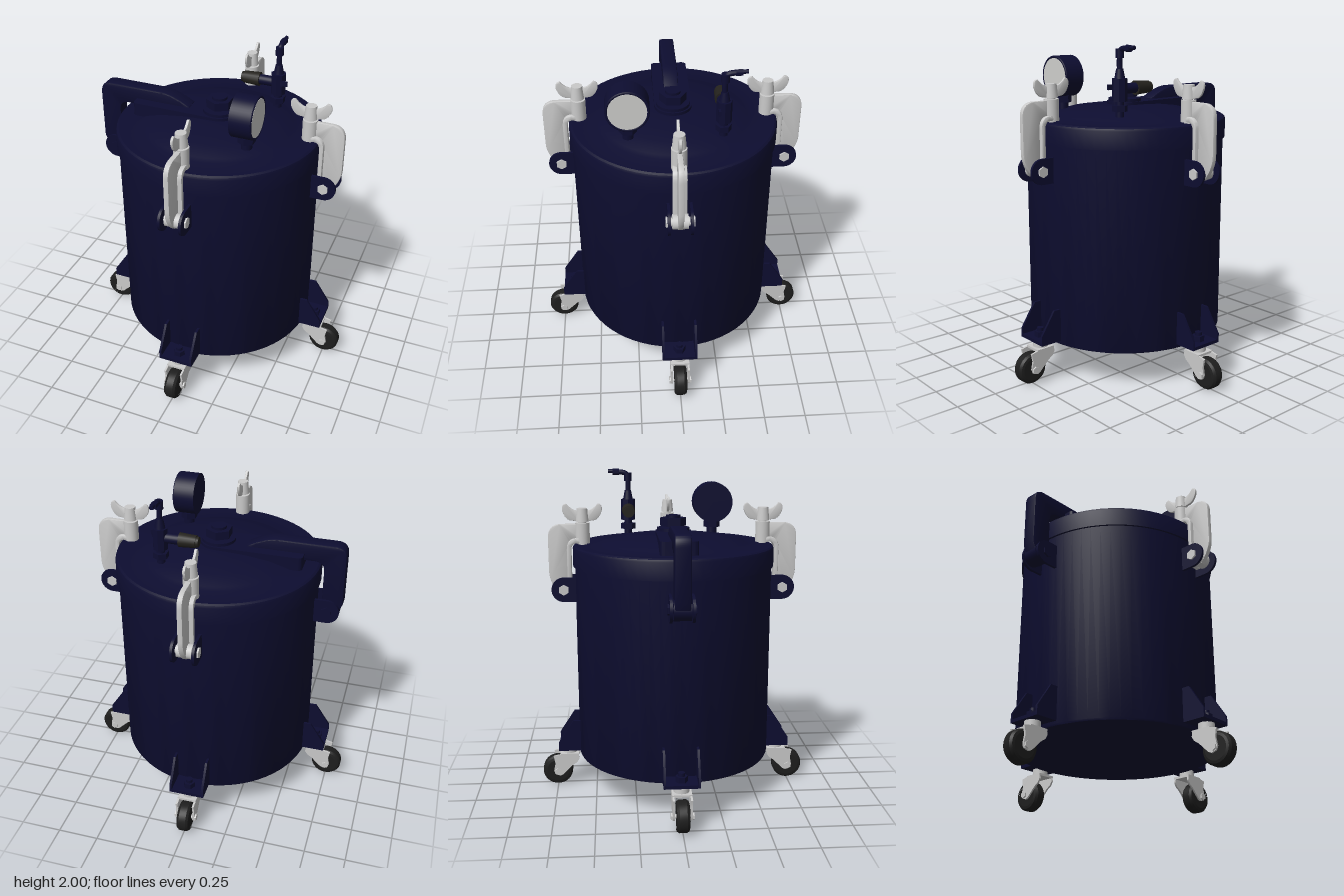
import * as THREE from 'three';
import { toCreasedNormals } from 'three/addons/utils/BufferGeometryUtils.js';

const mat = (name, color, side = THREE.FrontSide) => {
  const m = new THREE.MeshStandardMaterial({ color, side });
  m.name = name;
  return m;
};

export function createModel() {
  const navy = mat('navy paint', 0x0d0d30);
  const metal = mat('pale metal', 0xcacaca);
  const rubber = mat('black rubber', 0x1e1e1e);
  const grip = mat('dark grip', 0x24221d);
  const dial = mat('dial face', 0xcfcfcc);

  const root = new THREE.Group();
  root.name = 'pressureTank';

  const add = (parent, name, geo, material, x = 0, y = 0, z = 0) => {
    const m = new THREE.Mesh(geo, material);
    m.name = name;
    m.position.set(x, y, z);
    parent.add(m);
    return m;
  };
  const group = (name, angle = 0) => {
    const g = new THREE.Group();
    g.name = name;
    g.rotation.y = angle;
    root.add(g);
    return g;
  };
  const box = (w, h, d) => new THREE.BoxGeometry(w, h, d);
  // cylinder along the y, x or z axis
  const cyl = (r, len, axis = 'y', seg = 24, r2 = r) => {
    const g = new THREE.CylinderGeometry(r2, r, len, seg);
    if (axis === 'x') g.rotateZ(-Math.PI / 2);
    if (axis === 'z') g.rotateX(Math.PI / 2);
    return seg < 9 ? toCreasedNormals(g, 0.5) : g;
  };
  const lathe = (pts, seg = 64) => toCreasedNormals(
    new THREE.LatheGeometry(pts.map(p => new THREE.Vector2(...p)), seg), 0.5);
  // outline in the xy plane, thickened evenly about z = 0
  const plate = (shape, depth, bevel = 0) => {
    const g = new THREE.ExtrudeGeometry(shape, {
      depth: depth - 2 * bevel, curveSegments: 12,
      bevelEnabled: bevel > 0, bevelSize: bevel, bevelThickness: bevel, bevelOffset: -bevel, bevelSegments: 2
    });
    g.translate(0, 0, -depth / 2 + bevel);
    return toCreasedNormals(g, 0.6);
  };
  const poly = pts => new THREE.Shape(pts.map(p => new THREE.Vector2(...p)));

  // Tank shell and domed lid
  add(root, 'tankBody', lathe([[0, 0.23], [0.6, 0.23], [0.605, 0.24], [0.605, 1.45], [0, 1.45]]), navy);
  add(root, 'lid', lathe([[0, 1.435], [0.617, 1.435], [0.617, 1.54], [0.612, 1.553], [0.6, 1.56],
    [0.47, 1.56], [0.44, 1.572], [0.35, 1.598], [0.22, 1.617], [0.1, 1.625], [0, 1.626]]), navy);

  // Pair of pivot lugs, pointing along +x
  const lug = new THREE.Shape();
  lug.moveTo(0.59, 1.215);
  lug.lineTo(0.675, 1.215);
  lug.absarc(0.675, 1.29, 0.075, -Math.PI / 2, Math.PI / 2, false);
  lug.lineTo(0.59, 1.365);
  const addLugs = (g, boltMaterial) => {
    for (const s of [-1, 1]) {
      add(g, 'pivotLug', plate(lug, 0.016), navy, 0, 0, s * 0.063);
      add(g, 'pivotBoltHead', cyl(0.033, 0.012, 'z', 6), boltMaterial, 0.675, 1.29, s * 0.075);
    }
    add(g, 'pivotPin', cyl(0.025, 0.13, 'z'), boltMaterial, 0.675, 1.29, 0);
  };

  // Screw clamps
  const web = new THREE.Shape();
  web.moveTo(0.555, 1.585);
  web.lineTo(0.6, 1.585);
  web.quadraticCurveTo(0.64, 1.585, 0.64, 1.53);
  web.lineTo(0.64, 1.25);
  web.lineTo(0.7, 1.25);
  web.quadraticCurveTo(0.765, 1.32, 0.765, 1.4);
  web.lineTo(0.765, 1.6);
  web.quadraticCurveTo(0.765, 1.685, 0.68, 1.685);
  web.lineTo(0.555, 1.685);
  const flange = new THREE.Shape();
  flange.moveTo(0.56, 1.57);
  flange.lineTo(0.59, 1.57);
  flange.quadraticCurveTo(0.626, 1.57, 0.626, 1.52);
  flange.lineTo(0.626, 1.25);
  flange.lineTo(0.652, 1.25);
  flange.lineTo(0.652, 1.53);
  flange.quadraticCurveTo(0.652, 1.6, 0.59, 1.6);
  flange.lineTo(0.56, 1.6);
  const wing = new THREE.Shape();
  wing.moveTo(0.02, 1.7);
  wing.lineTo(0.06, 1.705);
  wing.quadraticCurveTo(0.1, 1.705, 0.12, 1.765);
  wing.quadraticCurveTo(0.126, 1.805, 0.095, 1.808);
  wing.quadraticCurveTo(0.06, 1.765, 0.02, 1.765);

  const addClamp = (name, angle) => {
    const g = group(name, angle);
    addLugs(g, metal);
    add(g, 'clampWeb', plate(web, 0.03, 0.004), metal);
    add(g, 'clampFlange', plate(flange, 0.08, 0.006), metal);
    add(g, 'clampPivotBoss', cyl(0.043, 0.09, 'z'), metal, 0.675, 1.29, 0);
    add(g, 'screwBoss', cyl(0.044, 0.125), metal, 0.555, 1.63, 0);
    add(g, 'clampScrew', cyl(0.025, 0.22), metal, 0.555, 1.665, 0);
    add(g, 'wingNutHub', cyl(0.04, 0.08, 'y', 24, 0.032), metal, 0.555, 1.74, 0);
    for (const s of [0, Math.PI]) {
      add(g, 'wingNutWing', plate(wing, 0.016, 0.004), metal, 0.555, 0, 0).rotation.y = s;
    }
  };
  addClamp('leftClamp', 0);
  addClamp('frontClamp', -Math.PI / 2);
  addClamp('backClamp', Math.PI / 2);

  // Hinged lid arm on the -x side
  const hinge = group('lidHinge', Math.PI);
  addLugs(hinge, navy);
  add(hinge, 'hingeBoss', cyl(0.06, 0.1, 'z'), navy, 0.69, 1.29, 0);
  const arm = new THREE.Shape();
  arm.moveTo(0.64, 1.25);
  arm.lineTo(0.73, 1.25);
  arm.lineTo(0.765, 1.34);
  arm.lineTo(0.765, 1.64);
  arm.quadraticCurveTo(0.765, 1.71, 0.695, 1.71);
  arm.lineTo(0.37, 1.71);
  arm.quadraticCurveTo(0.29, 1.71, 0.18, 1.645);
  arm.lineTo(0.18, 1.6);
  arm.lineTo(0.58, 1.6);
  arm.quadraticCurveTo(0.64, 1.6, 0.64, 1.54);
  add(hinge, 'liftArm', plate(arm, 0.09, 0.008), navy);

  // Saddle plate and centre nut on the lid
  const saddle = new THREE.Shape();
  saddle.moveTo(-0.49, -0.11);
  saddle.lineTo(0, -0.11);
  saddle.absarc(0, 0, 0.11, -Math.PI / 2, Math.PI / 2, false);
  saddle.lineTo(-0.49, 0.11);
  saddle.quadraticCurveTo(-0.52, 0.11, -0.52, 0.08);
  saddle.lineTo(-0.52, -0.08);
  saddle.quadraticCurveTo(-0.52, -0.11, -0.49, -0.11);
  add(root, 'saddlePlate', plate(saddle, 0.08), navy, 0, 1.602, 0).rotation.x = -Math.PI / 2;
  add(root, 'centreWasher', cyl(0.1, 0.02), navy, 0, 1.65, 0);
  add(root, 'centreNut', cyl(0.08, 0.05, 'y', 6), navy, 0, 1.695, 0);
  add(root, 'centreStud', cyl(0.045, 0.02), navy, 0, 1.725, 0);

  // Foot brackets and casters
  const gusset = poly([[0.59, 0.255], [0.735, 0.255], [0.735, 0.31], [0.64, 0.455], [0.59, 0.455]]);
  const fork = poly([[0.625, 0.155], [0.655, 0.135], [0.715, 0.075], [0.735, 0.065], [0.765, 0.075],
    [0.775, 0.1], [0.765, 0.15], [0.775, 0.2], [0.7, 0.215], [0.615, 0.215], [0.58 + 0.03, 0.18]]);
  const tyre = lathe([[0.07, -0.04], [0.085, -0.036], [0.095, -0.022], [0.095, 0.022],
    [0.085, 0.036], [0.07, 0.04]], 32).rotateX(Math.PI / 2);
  ['left', 'front', 'right', 'back'].forEach((side, i) => {
    const g = group(side + 'Foot', -i * Math.PI / 2);
    for (const s of [-1, 1]) {
      add(g, 'footGusset', plate(gusset, 0.014), navy, 0, 0, s * 0.1);
      add(g, 'casterFork', plate(fork, 0.012), metal, 0, 0, s * 0.052);
      add(g, 'axleNut', cyl(0.022, 0.012, 'z', 6), metal, 0.75, 0.095, s * 0.062);
    }
    add(g, 'footPlate', box(0.145, 0.02, 0.2), navy, 0.6625, 0.265, 0);
    add(g, 'footBolt', cyl(0.036, 0.035, 'y', 6), navy, 0.67, 0.292, 0);
    add(g, 'boltTip', cyl(0.02, 0.03), navy, 0.67, 0.315, 0);
    add(g, 'casterSwivel', cyl(0.046, 0.05), metal, 0.67, 0.23, 0);
    add(g, 'casterCrown', box(0.12, 0.014, 0.116), metal, 0.672, 0.208, 0);
    add(g, 'casterTyre', tyre, rubber, 0.75, 0.095, 0);
    add(g, 'casterHub', cyl(0.075, 0.07, 'z', 32), rubber, 0.75, 0.095, 0);
    add(g, 'casterAxle', cyl(0.013, 0.12, 'z'), metal, 0.75, 0.095, 0);
  });

  // Pressure gauge, dial towards +x
  const gauge = group('pressureGauge');
  gauge.position.set(0.27, 0, 0.27);
  add(gauge, 'gaugeStem', cyl(0.032, 0.1), navy, 0, 1.64, 0);
  add(gauge, 'gaugeCollar', cyl(0.052, 0.04, 'y', 6), navy, 0, 1.65, 0);
  add(gauge, 'gaugeCase', cyl(0.125, 0.125, 'x', 48), navy, -0.0025, 1.79, 0);
  add(gauge, 'gaugeBezel', new THREE.TorusGeometry(0.117, 0.008, 10, 48), navy, 0.058, 1.79, 0).rotation.y = Math.PI / 2;
  add(gauge, 'gaugeDial', cyl(0.11, 0.006, 'x', 48), dial, 0.062, 1.79, 0);

  // Air valve with side grip and outlet elbow
  const valve = group('airValve');
  valve.position.set(0.27, 0, -0.27);
  add(valve, 'valveStem', cyl(0.025, 0.12), navy, 0, 1.65, 0);
  add(valve, 'valveCollar', cyl(0.046, 0.035, 'y', 6), navy, 0, 1.64, 0);
  add(valve, 'valveBody', cyl(0.045, 0.13, 'y', 8), navy, 0, 1.745, 0);
  add(valve, 'valveNeck', cyl(0.032, 0.06, 'y', 24, 0.02), navy, 0, 1.835, 0);
  add(valve, 'valveSideArm', cyl(0.03, 0.12, 'x'), navy, -0.07, 1.75, 0);
  add(valve, 'valveGrip', cyl(0.036, 0.1, 'x', 16, 0.042), grip, -0.165, 1.75, 0);
  add(valve, 'gripTip', cyl(0.03, 0.02, 'x', 16), grip, -0.22, 1.75, 0);
  const elbow = new THREE.CatmullRomCurve3([[0, 1.82, 0], [0, 1.93, 0], [0, 1.97, -0.012], [0, 1.98, -0.05], [0, 1.98, -0.085]]
    .map(p => new THREE.Vector3(...p)));
  add(valve, 'outletElbow', new THREE.TubeGeometry(elbow, 24, 0.016, 12), navy);
  add(valve, 'elbowCollar', cyl(0.024, 0.05), navy, 0, 1.95, 0);
  add(valve, 'outletNut', cyl(0.02, 0.04, 'z', 6), navy, 0, 1.98, -0.075);
  add(valve, 'outletTip', cyl(0.012, 0.04, 'z'), navy, 0, 1.985, -0.105);
  add(valve, 'sideLever', box(0.05, 0.03, 0.012), navy, 0.04, 1.76, 0.03);

  return root;
}
